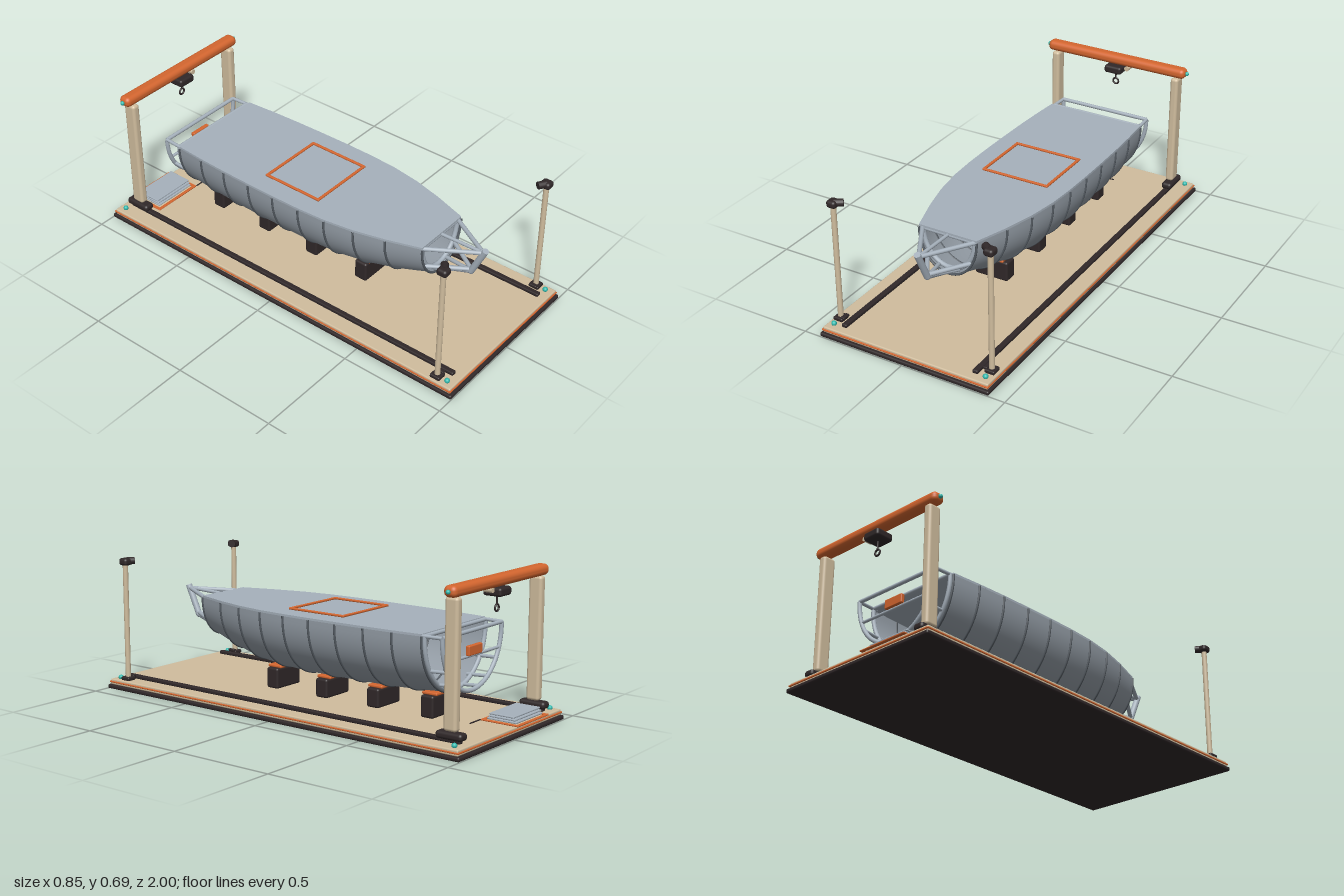
import * as THREE from 'three';
import { RoundedBoxGeometry } from 'three/addons/geometries/RoundedBoxGeometry.js';

const material = (name, color, side = THREE.FrontSide) =>
  Object.assign(new THREE.MeshStandardMaterial({ color, side }), { name });

export function createModel() {
  const model = new THREE.Group();
  const dark = material('charcoal', 0x302829);
  const tan = material('sand', 0xd0bd9e);
  const orange = material('orange', 0xd4662f);
  const steel = material('light steel', 0xa6b1bc);
  const plate = material('hull plate', 0x969fa8, THREE.DoubleSide);
  const ribGrey = material('rib grey', 0x555c63);
  const teal = material('teal', 0x2fb9ae);

  const V = (x, y, z) => new THREE.Vector3(x, y, z);
  const add = (name, geometry, mat, x = 0, y = 0, z = 0, parent = model) => {
    const mesh = new THREE.Mesh(geometry, mat);
    mesh.name = name;
    mesh.position.set(x, y, z);
    parent.add(mesh);
    return mesh;
  };
  const box = (name, mat, w, h, d, x, y, z, r = 0.006, parent = model) =>
    add(name, new RoundedBoxGeometry(w, h, d, 3, Math.min(r, w / 2.01, h / 2.01, d / 2.01)), mat, x, y, z, parent);
  // Straight round bar between two points
  const bar = (name, mat, a, b, r, parent = model) => {
    const dir = b.clone().sub(a);
    const mesh = add(name, new THREE.CylinderGeometry(r, r, dir.length(), 16), mat, 0, 0, 0, parent);
    mesh.position.copy(a).add(b).multiplyScalar(0.5);
    mesh.quaternion.setFromUnitVectors(V(0, 1, 0), dir.normalize());
    return mesh;
  };
  const tube = (name, mat, points, r, parent = model) =>
    add(name, new THREE.TubeGeometry(new THREE.CatmullRomCurve3(points), 48, r, 10), mat, 0, 0, 0, parent);
  const ball = (name, mat, r, x, y, z) => add(name, new THREE.SphereGeometry(r, 16, 12), mat, x, y, z);

  // Base platform
  box('baseSkirt', dark, 0.845, 0.02, 2, 0, 0.01, 0, 0.008);
  box('baseTrim', orange, 0.832, 0.008, 1.985, 0, 0.033, 0, 0.003);
  box('baseDeck', tan, 0.825, 0.028, 1.975, 0, 0.033, 0, 0.006);

  // Rails, gantry legs, front posts and corner studs
  for (const s of [-1, 1]) {
    box('rail', dark, 0.026, 0.018, 1.9, s * 0.328, 0.055, 0, 0.006);
    box('gantryCarriage', dark, 0.052, 0.033, 0.13, s * 0.328, 0.076, -0.9, 0.014);
    box('gantryLeg', tan, 0.04, 0.553, 0.064, s * 0.326, 0.369, -0.9, 0.014);
    ball('beamEndStud', teal, 0.01, s * 0.376, 0.67, -0.905);
    box('postFoot', dark, 0.048, 0.018, 0.05, s * 0.38, 0.056, 0.9, 0.006);
    box('postFootClamp', dark, 0.02, 0.012, 0.04, s * 0.358, 0.066, 0.9, 0.004);
    bar('frontPost', tan, V(s * 0.38, 0.05, 0.9), V(s * 0.38, 0.61, 0.9), 0.0125);
    box('lampHead', dark, 0.046, 0.034, 0.05, s * 0.379, 0.616, 0.9, 0.013);
    bar('lampBarrel', dark, V(s * 0.375, 0.619, 0.9), V(s * 0.342, 0.619, 0.878), 0.017);
    for (const z of [-0.95, 0.95]) ball('cornerStud', teal, 0.012, s * 0.38, 0.053, z);
  }

  // Gantry beam and hoist
  box('gantryBeam', orange, 0.745, 0.05, 0.062, 0, 0.67, -0.905, 0.022);
  box('hoistTrolley', dark, 0.09, 0.038, 0.09, 0, 0.624, -0.9, 0.012);
  bar('hoistMotor', tan, V(0.065, 0.636, -0.92), V(0.065, 0.636, -0.88), 0.012);
  bar('hoistRod', dark, V(0, 0.565, -0.9), V(0, 0.61, -0.9), 0.004);
  add('hoistRing', new THREE.TorusGeometry(0.0145, 0.0045, 10, 28), dark, 0, 0.552, -0.9);

  // Hull stations: z, half width, bottom height
  const boat = new THREE.Group();
  boat.name = 'boat';
  model.add(boat);
  const TOP = 0.443;
  const stations = [
    [0.63, 0.143, 0.252], [0.47, 0.195, 0.203], [0.325, 0.232, 0.17], [0.18, 0.254, 0.153], [0.04, 0.262, 0.147],
    [-0.105, 0.264, 0.146], [-0.25, 0.263, 0.146], [-0.4, 0.26, 0.148], [-0.545, 0.254, 0.154], [-0.69, 0.244, 0.164],
  ];
  // Half-round section point at an angle from 0 to PI
  const section = (z, w, bottom, a, grow = 0) =>
    V((w + grow) * Math.cos(a), TOP - (TOP - bottom + grow) * Math.pow(Math.sin(a), 0.94), z);
  const arc = (z, w, bottom, grow = 0, n = 24) =>
    Array.from({ length: n + 1 }, (_, i) => section(z, w, bottom, Math.PI * Math.min(i / n, 0.99999), grow));

  // Hull shell, open at both ends
  const N = 40;
  const positions = [], index = [];
  stations.forEach(([z, w, b], k) => {
    arc(z, w, b, 0, N).forEach(p => positions.push(p.x, p.y, p.z));
    if (k === 0) return;
    for (let i = 0; i < N; i++) {
      const a = (k - 1) * (N + 1) + i, c = a + N + 1;
      index.push(a, a + 1, c, a + 1, c + 1, c);
    }
  });
  const shell = new THREE.BufferGeometry();
  shell.setAttribute('position', new THREE.Float32BufferAttribute(positions, 3));
  shell.setIndex(index);
  shell.computeVertexNormals();
  add('hullShell', shell, plate, 0, 0, 0, boat);
  stations.forEach(([z, w, b]) => tube('hullRib', ribGrey, arc(z, w, b, 0.001), 0.0055, boat));

  // Flat deck and hatch frame
  const outline = new THREE.Shape();
  stations.forEach(([z, w], i) => (i ? outline.lineTo(w, z) : outline.moveTo(w, z)));
  [...stations].reverse().forEach(([z, w]) => outline.lineTo(-w, z));
  outline.closePath();
  const deck = new THREE.ExtrudeGeometry(outline, { depth: 0.01, bevelEnabled: false });
  deck.rotateX(Math.PI / 2);
  add('deck', deck, steel, 0, 0.452, 0, boat);
  for (const s of [-1, 1]) {
    box('hatchFrameSide', orange, 0.013, 0.01, 0.31, s * 0.163, 0.458, -0.072, 0.004, boat);
    box('hatchFrameEnd', orange, 0.339, 0.01, 0.013, 0, 0.458, -0.072 + s * 0.1485, 0.004, boat);
  }

  // Bow frame
  const bow = new THREE.Group();
  bow.name = 'bowFrame';
  boat.add(bow);
  tube('bowHoop', steel, arc(0.62, 0.129, 0.278), 0.011, bow);
  bar('bowCrossbar', steel, V(-0.135, 0.436, 0.62), V(0.135, 0.436, 0.62), 0.01, bow);
  const stem = [V(0, 0.262, 0.625), V(0, 0.322, 0.79), V(0, 0.46, 0.855)];
  bar('keelBar', steel, stem[0], stem[1], 0.012, bow);
  bar('stemBar', steel, stem[1], stem[2], 0.015, bow);
  add('stemJoint', new THREE.SphereGeometry(0.015, 16, 12), steel, 0, 0.322, 0.79, bow);
  bar('bowCentreBar', steel, V(0, 0.44, 0.62), V(0, 0.447, 0.845), 0.008, bow);
  for (const s of [-1, 1]) {
    bar('bowTopBar', steel, V(s * 0.132, 0.437, 0.62), V(0, 0.445, 0.845), 0.01, bow);
    bar('bowMiddleBar', steel, V(s * 0.108, 0.33, 0.625), V(0, 0.33, 0.79), 0.01, bow);
    bar('bowLowerBar', steel, V(s * 0.05, 0.282, 0.62), V(0, 0.322, 0.785), 0.009, bow);
  }

  // Stern frame: two hoops joined by stringers
  const stern = new THREE.Group();
  stern.name = 'sternFrame';
  boat.add(stern);
  for (const [z, w, b] of [[-0.7, 0.236, 0.175], [-0.785, 0.23, 0.183]]) {
    tube('sternHoop', steel, arc(z, w, b), 0.01, stern);
    bar('sternTopBar', steel, V(-w, TOP, z), V(w, TOP, z), 0.009, stern);
  }
  for (const t of [0, 0.19, 0.32, 0.42, 0.58, 0.68, 0.81, 0.99999])
    bar('sternStringer', steel, section(-0.68, 0.236, 0.175, t * Math.PI),
      section(-0.785, 0.23, 0.183, t * Math.PI), 0.008, stern);
  box('sternBox', orange, 0.104, 0.044, 0.02, 0, 0.361, -0.793, 0.005, stern);
  bar('sternBoxMount', steel, V(-0.215, 0.335, -0.785), V(0.215, 0.335, -0.785), 0.007, stern);

  // Keel blocks with orange pads
  [[0.255, 0.155], [-0.035, 0.146], [-0.323, 0.146], [-0.612, 0.158]].forEach(([z, top]) => {
    const h = top - 0.058;
    box('keelBlock', dark, 0.168, h, 0.066, 0, 0.047 + h / 2, z, 0.01);
    box('keelPad', orange, 0.13, 0.013, 0.078, 0, top - 0.006, z, 0.005);
  });

  // Parts tray with stacked plates
  for (const s of [-1, 1]) {
    box('trayEnd', orange, 0.015, 0.007, 0.185, -0.16 + s * 0.121, 0.05, -0.905, 0.003);
    box('traySide', orange, 0.257, 0.007, 0.015, -0.16, 0.05, -0.905 + s * 0.086, 0.003);
  }
  [0.057, 0.068, 0.079].forEach((y, i) =>
    box('stackedPlate', steel, 0.22, 0.008, 0.145 - i * 0.012, -0.16, y, -0.905, 0.003));
  box('stackSpacer', dark, 0.18, 0.026, 0.09, -0.16, 0.062, -0.905, 0.003);
  bar('looseRod', dark, V(-0.03, 0.051, -0.812), V(0.05, 0.051, -0.812), 0.003);

  return model;
}
